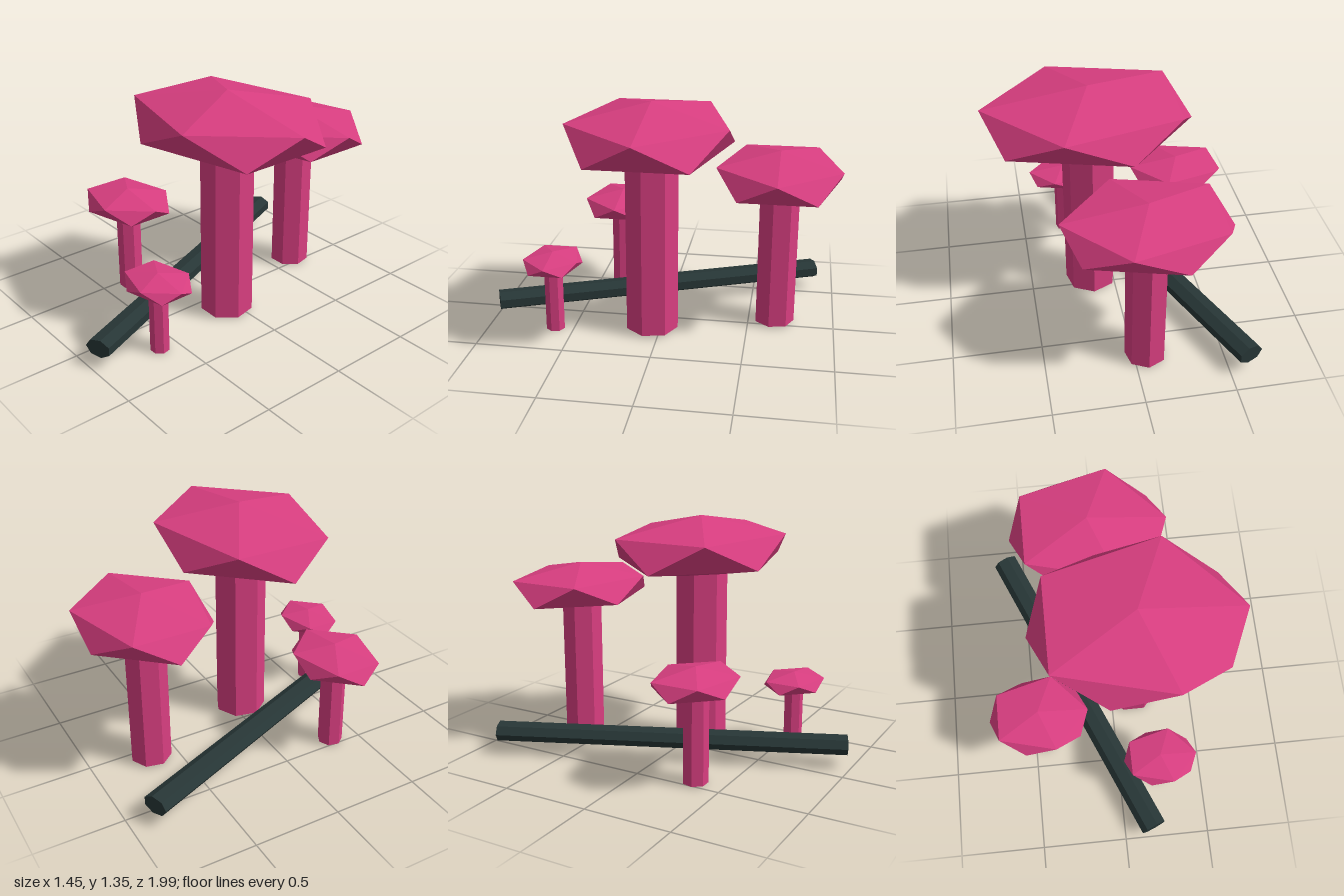
import * as THREE from 'three';

const pink = new THREE.MeshStandardMaterial({ color: 0xd83e80, flatShading: true });
pink.name = 'mushroom pink';
const bark = new THREE.MeshStandardMaterial({ color: 0x273636, flatShading: true });
bark.name = 'dark bark';

// Icosahedron standing on a point, with one upper corner towards +x
function capGeometry() {
  const g = new THREE.IcosahedronGeometry(1, 0);
  g.rotateX(-Math.atan2((1 + Math.sqrt(5)) / 2, 1));
  g.rotateY(Math.PI / 2);
  return g;
}

// Mushroom: seven-sided stem under a flattened faceted cap
function mushroom(name, { x, z, base, stemR, capY, capSize }) {
  const group = new THREE.Group();
  group.name = name;
  group.position.set(x, 0, z);

  const h = capY - base;
  const stem = new THREE.Mesh(new THREE.CylinderGeometry(stemR, stemR, h, 7).rotateY(Math.PI), pink);
  stem.name = 'stem';
  stem.position.y = base + h / 2;

  const cap = new THREE.Mesh(capGeometry().scale(...capSize), pink);
  cap.name = 'cap';
  cap.position.y = capY;

  group.add(stem, cap);
  return group;
}

export function createModel() {
  const model = new THREE.Group();
  model.name = 'mushroomCluster';

  model.add(
    mushroom('tallMushroom', { x: 0.136, z: 0.051, base: 0.012, stemR: 0.152, capY: 1.175, capSize: [0.658, 0.522, 0.175] .map((v, i, a) => [a[0], a[2], a[1]][i]) }),
    mushroom('backMushroom', { x: -0.066, z: -0.651, base: 0.008, stemR: 0.117, capY: 0.915, capSize: [0.51, 0.135, 0.41] }),
    mushroom('sideMushroom', { x: -0.444, z: 0.332, base: 0.003, stemR: 0.072, capY: 0.567, capSize: [0.318, 0.083, 0.255] }),
    mushroom('smallMushroom', { x: 0.232, z: 0.608, base: 0, stemR: 0.054, capY: 0.422, capSize: [0.234, 0.058, 0.185] })
  );

  // Fallen log lying diagonally, slightly flattened
  const logGeo = new THREE.CylinderGeometry(1, 1, 1.994, 7)
    .rotateY(-Math.PI / 2)
    .rotateX(Math.PI / 2)
    .scale(0.077, 0.055, 1)
    .rotateY(Math.atan2(0.777, 1.836));
  const log = new THREE.Mesh(logGeo, bark);
  log.name = 'fallenLog';
  log.position.set(-0.218, 0.123, 0.045);
  model.add(log);

  return model;
}
